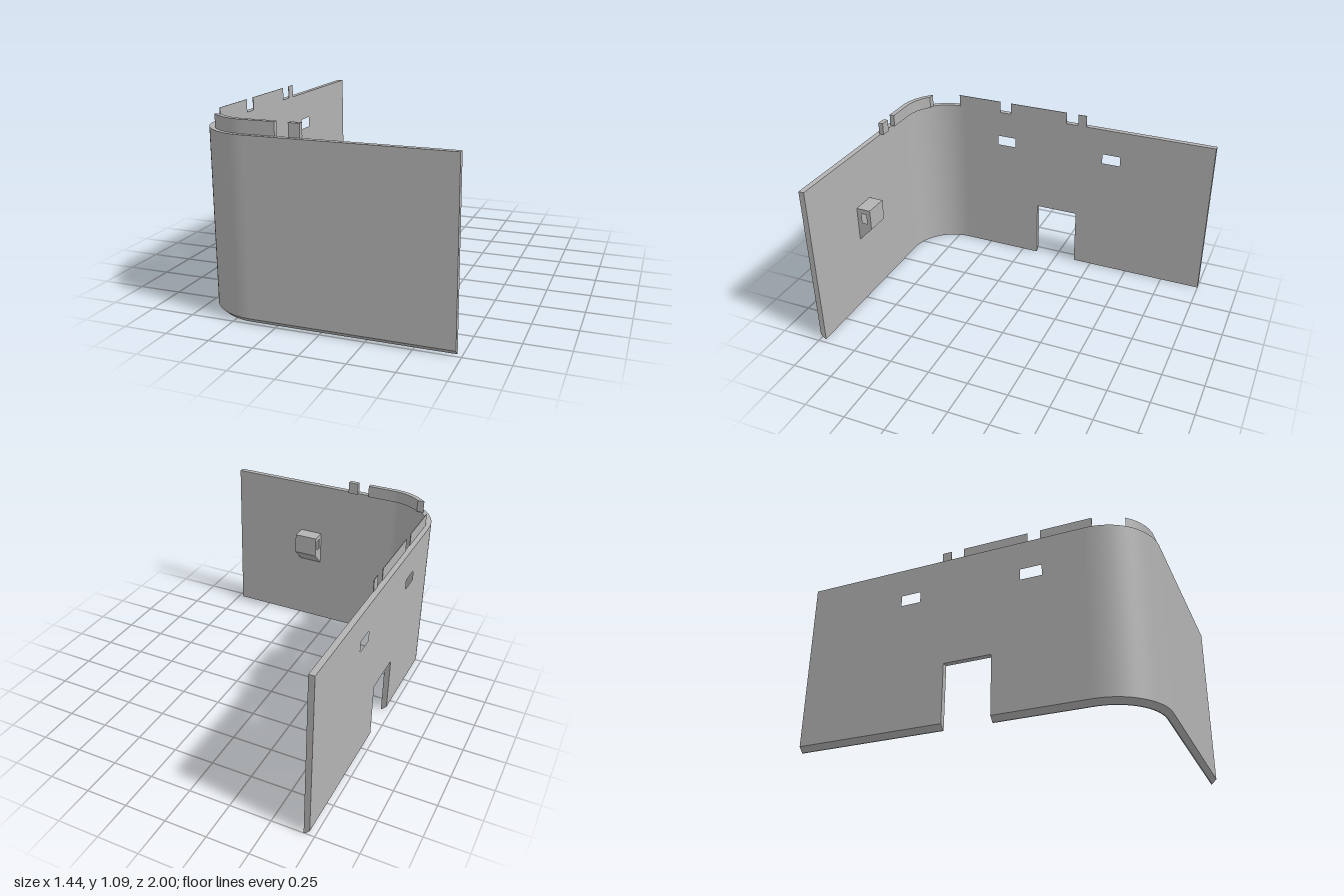
import * as THREE from 'three';
import { toCreasedNormals } from 'three/addons/utils/BufferGeometryUtils.js';

const H = 1.016, T = 0.034, CH = 0.028;      // wall height, thickness, bottom chamfer
const X0 = -0.722, X1 = 0.722, Z1 = 1;       // outer faces
const R = 0.32, CX = X0 + R, CZ = Z1 - R;    // outer corner radius and its centre
const TOP = 1.09;                            // top of the tabs

const grey = new THREE.MeshStandardMaterial({ color: 0xb3b3b3 });
grey.name = 'grey';

const rect = (a0, a1, b0, b1) => [[a0, b0], [a1, b0], [a1, b1], [a0, b1]];
const toPath = (pts, Type) => new Type(pts.map(([a, b]) => new THREE.Vector2(a, b)));

function extrude(pts, depth, holes = []) {
  const shape = toPath(pts, THREE.Shape);
  shape.holes = holes.map((h) => toPath(h, THREE.Path));
  return new THREE.ExtrudeGeometry(shape, { depth, bevelEnabled: false });
}

// Outline in [z, y], extruded from x0 to x1
function alongX(pts, x0, x1, holes = []) {
  const flip = (list) => list.map(([z, y]) => [-z, y]);
  return extrude(flip(pts), x1 - x0, holes.map(flip)).rotateY(Math.PI / 2).translate(x0, 0, 0);
}

export function createModel() {
  const group = new THREE.Group();
  const add = (name, geometry) => {
    const mesh = new THREE.Mesh(geometry, grey);
    mesh.name = name;
    group.add(mesh);
  };

  // Wall section as [distance from outer face, y], chamfered at the foot
  const section = [[0, CH], [0, H], [T, H], [T, 0], [CH, 0]];

  // Front wall
  add('frontWall', alongX(section.map(([d, y]) => [Z1 - d, y]), CX, X1));

  // Rounded corner
  const profile = [...section, section[0]].map(([d, y]) => new THREE.Vector2(R - d, y));
  const corner = new THREE.LatheGeometry(profile, 32, -Math.PI / 2, Math.PI / 2);
  add('cornerWall', toCreasedNormals(corner, 0.5).translate(CX, 0, CZ));

  // Side wall with doorway and two windows
  const door = { z0: -0.131, z1: 0.147, y: 0.371 };
  add('sideWall', alongX(
    [[-1, CH], [door.z0, CH], [door.z0, door.y], [door.z1, door.y], [door.z1, CH],
      [CZ, CH], [CZ, H], [-1, H]],
    X0, X0 + T,
    [rect(0.308, 0.433, 0.783, 0.847), rect(-0.412, -0.294, 0.783, 0.847)]
  ));

  // Chamfered foot of the side wall on both sides of the doorway
  const foot = [[X0, CH], [X0 + T, CH], [X0 + T, 0], [X0 + CH, 0]];
  for (const [z0, z1] of [[-1, door.z0], [door.z1, CZ]]) {
    add('sideWallFoot', extrude(foot, z1 - z0).translate(0, 0, z0));
  }

  // Thin tabs on top of the side wall, flush with its inner face
  for (const [z0, z1] of [[0.415, 0.709], [-0.045, 0.34], [-0.179, -0.123]]) {
    add('sideTab', alongX(rect(z0, z1, H - 0.002, TOP), X0 + T - 0.004, X0 + T));
  }

  // Curved tab that follows the corner, and a short tab on the front wall
  const ro = R - 0.025, ri = R - 0.055, cut = 0.875 - CZ, n = 16;
  const arc = (r) => Array.from({ length: n + 1 }, (_, i) => {
    const a = Math.asin(cut / r) + (Math.PI / 2 - Math.asin(cut / r)) * i / n;
    return [CX - r * Math.cos(a), -(CZ + r * Math.sin(a))];
  });
  const plan = [...arc(ro), [-0.23, -(CZ + ro)], [-0.23, -(CZ + ri)], ...arc(ri).reverse()];
  const tab = extrude(plan, TOP - H).rotateX(-Math.PI / 2).translate(0, H, 0);
  add('curvedTab', toCreasedNormals(tab, 0.5));
  add('frontTab', alongX(rect(CZ + ri, CZ + ro, H, TOP), -0.155, -0.093));

  // Bracket inside the front wall, with a slot right through it
  const zb = Z1 - T;
  add('bracket', alongX(
    [[zb, 0.445], [zb, 0.667], [0.875, 0.667], [0.875, 0.536]],
    0.1, 0.25,
    [rect(0.902, 0.936, 0.57, 0.636)]
  ));

  return group;
}
